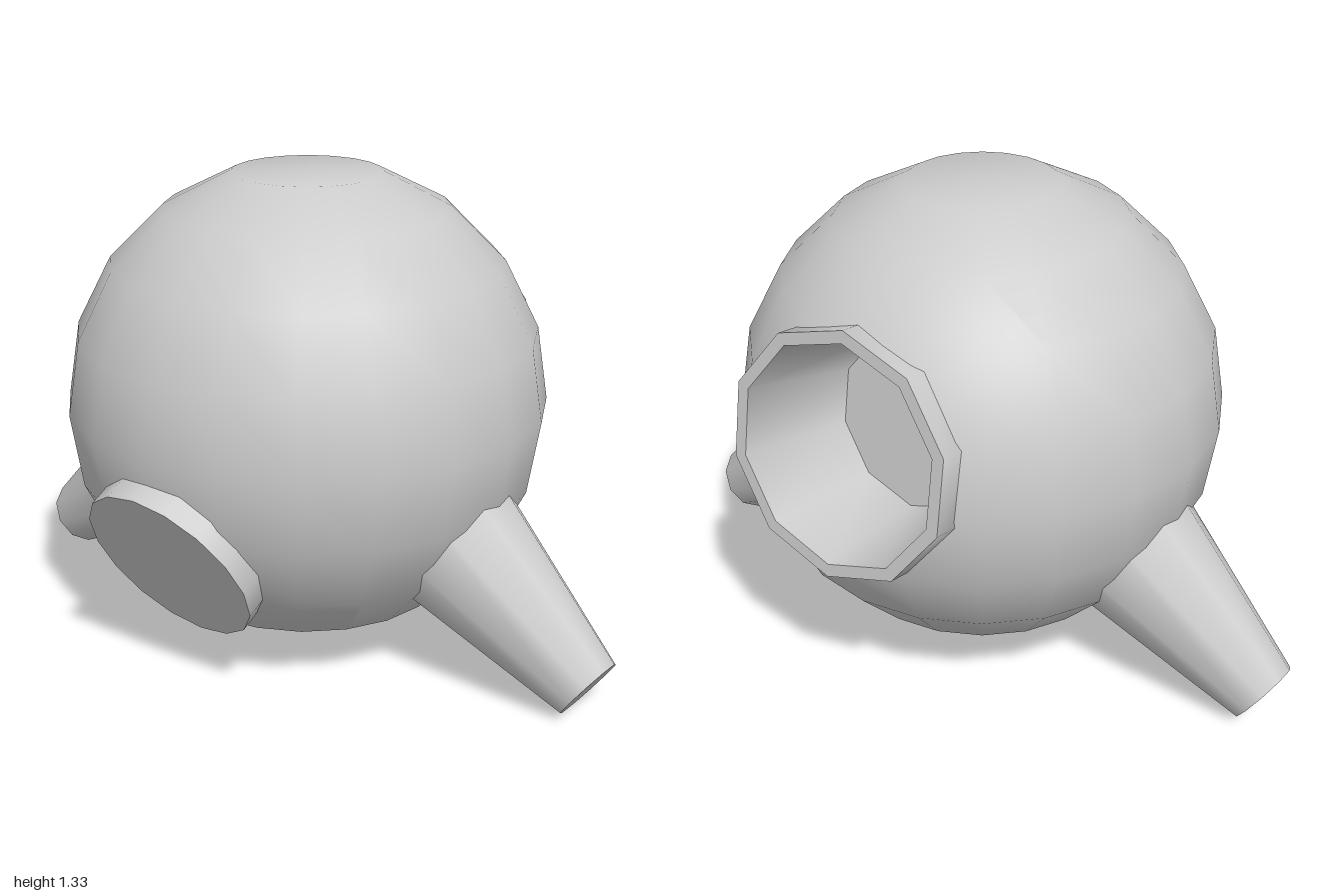
import * as THREE from 'three';
import { toCreasedNormals } from 'three/addons/utils/BufferGeometryUtils.js';

const UP = new THREE.Vector3(0, 1, 0);
const CENTRE = new THREE.Vector3(0, 0.7, -0.02);
const RADIUS = 0.675;

// Openings in the body: direction from its centre and radius of the hole
const backPort = { dir: new THREE.Vector3(0, 0.15, -0.989).normalize(), hole: 0.315 };
const frontPort = { dir: new THREE.Vector3(0, -0.475, 0.88).normalize(), hole: 0.235 };

function makeMesh(name, geometry) {
  const material = new THREE.MeshStandardMaterial({ color: 0xcccccc });
  const mesh = new THREE.Mesh(geometry, material);
  mesh.name = name;
  return mesh;
}

// Distance of a point from a port's axis, infinite on the far side
function axisDistance(p, port) {
  const along = p.dot(port.dir);
  return along < 0 ? Infinity : Math.sqrt(Math.max(0, p.lengthSq() - along * along));
}

// Twenty-sided ball with flat ends; triangles near a port are split and trimmed
function bodyGeometry() {
  const profile = [new THREE.Vector2(0, -RADIUS * Math.sin(Math.PI * 0.4))];
  for (let i = -4; i <= 4; i++) {
    const a = (i * Math.PI) / 10;
    profile.push(new THREE.Vector2(RADIUS * Math.cos(a), RADIUS * Math.sin(a)));
  }
  profile.push(new THREE.Vector2(0, RADIUS * Math.sin(Math.PI * 0.4)));
  const base = new THREE.LatheGeometry(profile, 20).toNonIndexed().attributes.position;

  const positions = [];
  const normals = [];
  function emit(corners, depth) {
    const near = [backPort, frontPort].some((port) =>
      corners.some((p) => axisDistance(p, port) < port.hole + 0.2));
    if (near && depth > 0) {
      const [a, b, c] = corners;
      const ab = a.clone().lerp(b, 0.5);
      const bc = b.clone().lerp(c, 0.5);
      const ca = c.clone().lerp(a, 0.5);
      for (const t of [[a, ab, ca], [ab, b, bc], [ca, bc, c], [ab, bc, ca]]) emit(t, depth - 1);
      return;
    }
    const middle = new THREE.Vector3();
    corners.forEach((p) => middle.addScaledVector(p, 1 / 3));
    if ([backPort, frontPort].some((port) => axisDistance(middle, port) < port.hole)) return;
    for (const p of corners) {
      positions.push(p.x, p.y, p.z);
      const n = p.clone().normalize();
      normals.push(n.x, n.y, n.z);
    }
  }
  for (let i = 0; i < base.count; i += 3) {
    emit([0, 1, 2].map((k) => new THREE.Vector3().fromBufferAttribute(base, i + k)), 4);
  }
  const geometry = new THREE.BufferGeometry();
  geometry.setAttribute('position', new THREE.Float32BufferAttribute(positions, 3));
  geometry.setAttribute('normal', new THREE.Float32BufferAttribute(normals, 3));
  return geometry;
}

export function createModel() {
  const group = new THREE.Group();
  group.name = 'roundPot';

  // Body
  const body = makeMesh('body', bodyGeometry());
  body.position.copy(CENTRE);
  group.add(body);

  // Back opening: collar, rim, tapering well and floor in one profile
  const well = [[0.34, -0.1], [0.34, 0], [0.305, 0], [0.25, -0.34], [0, -0.34]];
  const collarGeometry = toCreasedNormals(
    new THREE.LatheGeometry(well.map(([r, h]) => new THREE.Vector2(r, h)), 10), 0.7);
  const collar = makeMesh('backCollar', collarGeometry);
  collar.quaternion.setFromUnitVectors(UP, backPort.dir);
  collar.scale.x = 1.04;
  collar.position.copy(CENTRE).addScaledVector(backPort.dir, 0.638);
  group.add(collar);

  // Front plug, a short closed cylinder
  const plug = makeMesh('frontPlug', new THREE.CylinderGeometry(0.261, 0.261, 0.14, 16));
  plug.quaternion.setFromUnitVectors(UP, frontPort.dir);
  plug.position.copy(CENTRE).addScaledVector(frontPort.dir, 0.672 - 0.07);
  group.add(plug);

  // Two tapered legs, spread sideways and down
  const legLength = 0.6;
  for (const side of [1, -1]) {
    const dir = new THREE.Vector3(side * 0.815, -0.58, 0).normalize();
    const leg = makeMesh(side > 0 ? 'leftLeg' : 'rightLeg',
      new THREE.CylinderGeometry(0.1, 0.22, legLength, 10));
    leg.quaternion.setFromUnitVectors(UP, dir);
    leg.position.set(side * 0.942, 0.085, -0.02).addScaledVector(dir, -legLength / 2);
    group.add(leg);
  }
  return group;
}
